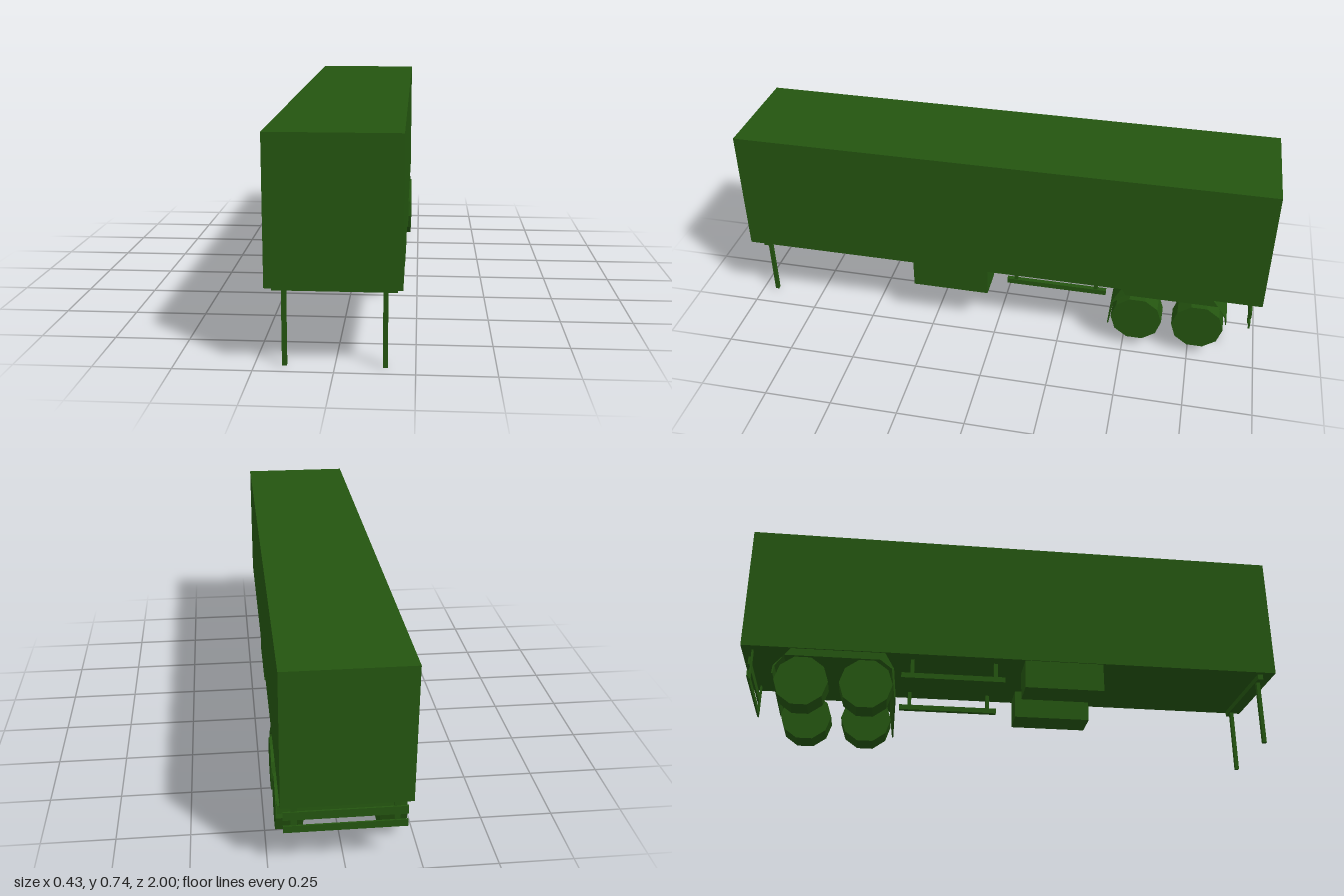
import * as THREE from 'three';

const material = new THREE.MeshStandardMaterial({ color: 0x245510, flatShading: true });

export function createModel() {
  const model = new THREE.Group();

  const add = (name, geometry) => {
    const mesh = new THREE.Mesh(geometry, material);
    mesh.name = name;
    model.add(mesh);
    return mesh;
  };

  // Box given by its lower and upper limits on each axis
  const box = (name, [x0, x1], [y0, y1], [z0, z1]) =>
    add(name, new THREE.BoxGeometry(x1 - x0, y1 - y0, z1 - z0))
      .position.set((x0 + x1) / 2, (y0 + y1) / 2, (z0 + z1) / 2);

  // The same box on both sides
  const boxPair = (name, [x0, x1], y, z) => {
    box(name + 'Left', [x0, x1], y, z);
    box(name + 'Right', [-x1, -x0], y, z);
  };

  // Cargo body
  box('cargoBody', [-0.21, 0.21], [0.265, 0.74], [-1, 1]);

  // Landing gear
  box('landingGearBeam', [-0.193, 0.193], [0.244, 0.265], [0.935, 0.955]);
  boxPair('landingLeg', [0.149, 0.164], [0, 0.25], [0.938, 0.952]);

  // Storage boxes under the floor
  boxPair('storageBox', [0.09, 0.206], [0.157, 0.265], [0.035, 0.33]);

  // Side guard rails with their hangers
  boxPair('sideRail', [0.147, 0.165], [0.19, 0.21], [-0.42, -0.035]);
  for (const z of [-0.07, -0.38]) {
    boxPair('railHanger', [0.148, 0.162], [0.2, 0.265], [z - 0.007, z + 0.007]);
  }

  // Rear bumper: two bars on two hangers
  box('bumperUpperBar', [-0.2, 0.2], [0.195, 0.225], [-0.968, -0.962]);
  box('bumperLowerBar', [-0.2, 0.2], [0.148, 0.173], [-0.968, -0.962]);
  boxPair('bumperHanger', [0.155, 0.175], [0.15, 0.265], [-0.964, -0.958]);

  // Wheels: ten-sided, flat side down
  for (const side of [-1, 1]) {
    for (const z of [-0.545, -0.775]) {
      const wheel = new THREE.CylinderGeometry(0.096, 0.096, 0.09, 10);
      wheel.rotateZ(Math.PI / 2).rotateX(Math.PI / 2);
      // Turn half a step if a corner points straight down
      wheel.computeBoundingBox();
      const { min, max } = wheel.boundingBox;
      if (max.y - min.y > max.z - min.z) wheel.rotateX(Math.PI / 10);
      add('wheel', wheel).position.set(side * 0.172, 0.135, z);
    }
  }

  // Mudguard: bent sheet over both axles, profile in z and y
  const profile = [
    [-0.436, 0.09], [-0.447, 0.2], [-0.482, 0.264], [-0.822, 0.264], [-0.879, 0.19], [-0.881, 0.16],
    [-0.877, 0.16], [-0.872, 0.19], [-0.843, 0.236], [-0.498, 0.236], [-0.455, 0.2], [-0.441, 0.09],
  ];
  const shape = new THREE.Shape(profile.map(([z, y]) => new THREE.Vector2(z, y)));
  const guard = new THREE.ExtrudeGeometry(shape, { depth: 0.42, bevelEnabled: false });
  guard.rotateY(-Math.PI / 2).translate(0.21, 0, 0);
  // Narrow the sheet slightly toward its top and bottom edges
  const p = guard.attributes.position;
  for (let i = 0; i < p.count; i++) {
    const y = p.getY(i);
    const half = y > 0.23 ? 0.207 : y < 0.12 ? 0.205 : 0.213;
    p.setX(i, Math.sign(p.getX(i)) * half);
  }
  guard.computeVertexNormals();
  add('mudguard', guard);

  return model;
}
